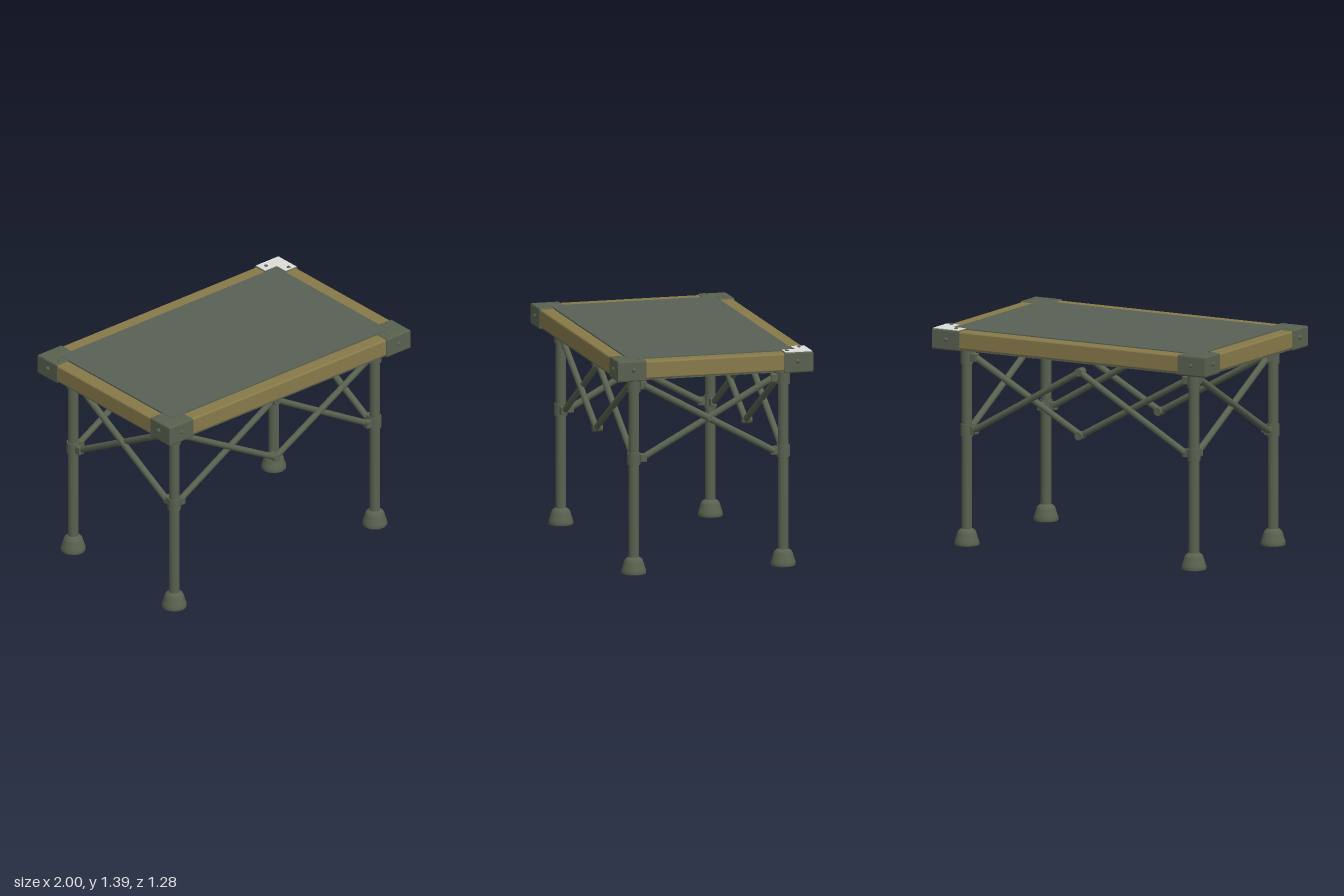
import * as THREE from 'three';
import { RoundedBoxGeometry } from 'three/addons/geometries/RoundedBoxGeometry.js';

const mat = (name, color) => {
  const m = new THREE.MeshStandardMaterial({ color });
  m.name = name;
  return m;
};

export function createModel() {
  const canvasGreen = mat('canvasGreen', 0x596156);
  const metalGreen = mat('metalGreen', 0x59614f);
  const ochre = mat('ochreRail', 0x877a4a);
  const bare = mat('bareMetal', 0xdcdcd9);

  const table = new THREE.Group();
  table.name = 'foldingTable';
  const HX = 0.985, HZ = 0.631;      // outer half sizes of the top
  const PX = 0.885, PZ = 0.533;      // half sizes of the canvas
  const CX = 0.79, CZ = 0.447;       // inner edges of the corner caps
  const LX = 0.82, LZ = 0.483;       // leg positions

  const add = (name, geo, material, x = 0, y = 0, z = 0) => {
    const m = new THREE.Mesh(geo, material);
    m.name = name;
    m.position.set(x, y, z);
    table.add(m);
    return m;
  };
  const box = (name, w, h, d, material, x, y, z, r = 0.008) =>
    add(name, new RoundedBoxGeometry(w, h, d, 2, r), material, x, y, z);
  const up = new THREE.Vector3(0, 1, 0);
  // round bar between two points
  const bar = (name, a, b, r, material = metalGreen, sides = 12) => {
    const p = new THREE.Vector3(...a), q = new THREE.Vector3(...b);
    const d = q.clone().sub(p);
    const m = add(name, new THREE.CylinderGeometry(r, r, d.length(), sides), material);
    m.position.copy(p).add(q).multiplyScalar(0.5);
    m.quaternion.setFromUnitVectors(up, d.normalize());
    return m;
  };

  // table top: canvas, underside and four rails
  add('canvasTop', new THREE.BoxGeometry(PX * 2, 0.1, PZ * 2), canvasGreen, 0, 1.325, 0);
  add('underside', new THREE.BoxGeometry(HX * 2 - 0.03, 0.008, HZ * 2 - 0.03), canvasGreen, 0, 1.256, 0);
  for (const s of [-1, 1]) {
    box('longRail', CX * 2 + 0.04, 0.112, 0.094, ochre, 0, 1.315, s * (HZ - 0.053), 0.012);
    box('shortRail', 0.096, 0.112, CZ * 2 + 0.04, ochre, s * (HX - 0.053), 1.315, 0, 0.012);
  }

  // L-shaped corner cap wrapping the canvas corner
  const capGeometry = (sx, sz, inset, height, bevel) => {
    const pts = [[HX - inset, HZ - inset], [CX + inset, HZ - inset], [CX + inset, PZ + inset],
      [PX + inset, PZ + inset], [PX + inset, CZ + inset], [HX - inset, CZ + inset]];
    const shape = new THREE.Shape(pts.map(([x, z]) => new THREE.Vector2(x * sx, -z * sz)));
    const g = new THREE.ExtrudeGeometry(shape, {
      depth: height, bevelEnabled: bevel > 0, bevelSize: bevel, bevelThickness: bevel, bevelSegments: 2,
    });
    return g.rotateX(-Math.PI / 2);
  };

  const footProfile = [[0, 0], [0.074, 0], [0.078, 0.006], [0.077, 0.026], [0.07, 0.042], [0.061, 0.075],
    [0.055, 0.09], [0.043, 0.1], [0.033, 0.106]].map(([r, y]) => new THREE.Vector2(r, y));
  const rivet = new THREE.SphereGeometry(0.014, 10, 8);

  for (const sx of [-1, 1]) for (const sz of [-1, 1]) {
    add('cornerCap', capGeometry(sx, sz, 0.01, 0.112, 0.01), metalGreen, 0, 1.256, 0);
    box('cornerSocket', HX - CX - 0.004, 0.08, HZ - CZ - 0.004, metalGreen,
      sx * (HX + CX) / 2, 1.286, sz * (HZ + CZ) / 2);
    // worn plate on one corner
    if (sx > 0 && sz < 0) add('wornCornerPlate', capGeometry(sx, sz, 0.006, 0.004, 0), bare, 0, 1.376, 0);

    // rivets on the top and the two outer faces
    add('rivet', rivet, metalGreen, sx * 0.935, 1.375, sz * 0.475);
    add('rivet', rivet, metalGreen, sx * 0.84, 1.375, sz * 0.58);
    add('rivet', rivet, metalGreen, sx * (HX + 0.001), 1.32, sz * 0.53);
    add('rivet', rivet, metalGreen, sx * 0.885, 1.315, sz * (HZ - 0.002));

    // leg, foot and clamp collars with lugs for the braces
    const x = sx * LX, z = sz * LZ;
    bar('leg', [x, 0.09, z], [x, 1.27, z], 0.033, metalGreen, 20);
    add('foot', new THREE.LatheGeometry(footProfile, 24), metalGreen, x, 0, z);
    for (const [y0, y1, ly] of [[1.15, 1.25, 1.19], [0.69, 0.765, 0.73]]) {
      bar('collar', [x, y0, z], [x, y1, z], 0.041, metalGreen, 20);
      box('lug', 0.045, 0.052, 0.04, metalGreen, sx * (LX - 0.055), ly, z, 0.006);
      box('lug', 0.04, 0.052, 0.045, metalGreen, x, ly, sz * (LZ - 0.06), 0.006);
    }
  }

  // scissor braces on the long sides, meeting at two centre hinges
  for (const sz of [-1, 1]) {
    const z = sz * LZ;
    for (const sx of [-1, 1]) {
      bar('longBrace', [sx * 0.765, 1.19, z + 0.008], [0, 0.767, z + 0.008], 0.02);
      bar('longBrace', [sx * 0.765, 0.73, z - 0.008], [0, 1.17, z - 0.008], 0.02);
    }
    for (const y of [0.767, 1.17]) bar('hinge', [0, y, z - 0.03], [0, y, z + 0.03], 0.026, metalGreen, 16);
  }

  // crossed braces on the short sides, pinned in the middle
  for (const sx of [-1, 1]) {
    const x = sx * LX;
    for (const s of [-1, 1])
      bar('shortBrace', [x + s * 0.008, 1.19, s * 0.42], [x + s * 0.008, 0.73, -s * 0.42], 0.021);
    bar('crossPin', [x - 0.032, 0.96, 0], [x + 0.032, 0.96, 0], 0.015);
  }

  table.position.z = -0.005;
  const root = new THREE.Group();
  root.name = 'model';
  root.add(table);
  return root;
}
